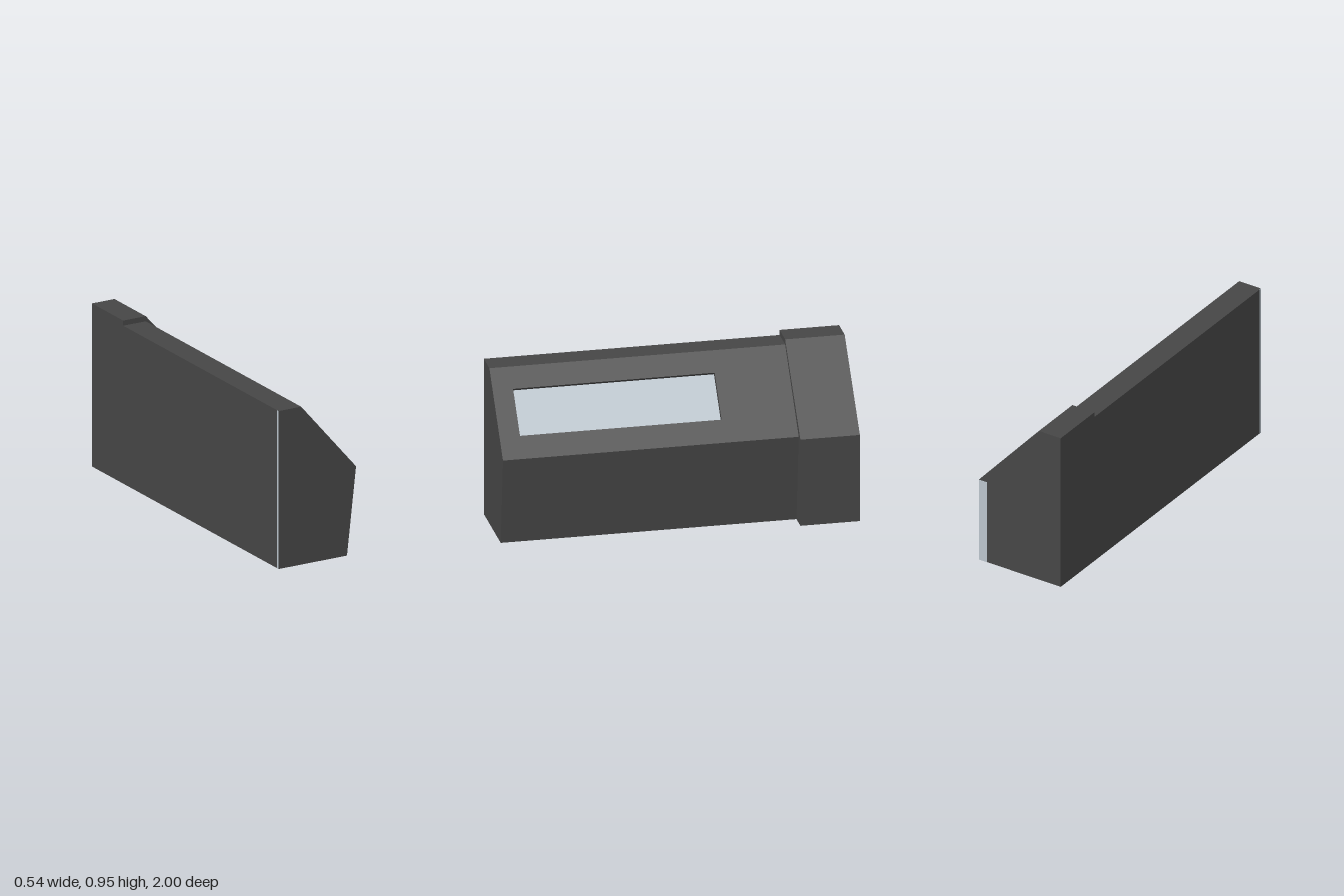
import * as THREE from 'three';

const body = new THREE.MeshStandardMaterial({ name: 'charcoal', color: 0x464646 });
const glass = new THREE.MeshStandardMaterial({ name: 'paleGrey', color: 0xbac4cc });

// Extrude an x/y outline between two z positions
function prism(name, points, z0, z1, material) {
  const shape = new THREE.Shape(points.map(([x, y]) => new THREE.Vector2(x, y)));
  const geometry = new THREE.ExtrudeGeometry(shape, { depth: z1 - z0, bevelEnabled: false });
  geometry.translate(0, 0, z0);
  const mesh = new THREE.Mesh(geometry, material);
  mesh.name = name;
  return mesh;
}

function plate(name, w, h, d, x, y, z) {
  const mesh = new THREE.Mesh(new THREE.BoxGeometry(w, h, d), glass);
  mesh.name = name;
  mesh.position.set(x, y, z);
  return mesh;
}

export function createModel() {
  const model = new THREE.Group();
  model.name = 'slopedCabinet';

  // Main housing outline: leaning wall, sloped face, flat top
  const foot = [[-0.27, 0], [0.168, 0]];
  const slopeLow = [0.226, 0.51];
  const slopeHigh = [-0.126, 0.92];
  const top = [-0.27, 0.92];
  const run = new THREE.Vector2(slopeHigh[0] - slopeLow[0], slopeHigh[1] - slopeLow[1]);
  const normal = new THREE.Vector2(run.y, -run.x).normalize();

  // Point on the slope at fraction t, sunk by a depth
  const onSlope = (t, depth) => [
    slopeLow[0] + run.x * t - normal.x * depth,
    slopeLow[1] + run.y * t - normal.y * depth,
  ];
  const t0 = 0.25, t1 = 0.758, recess = 0.03, paneDepth = 0.025;

  const plain = [...foot, slopeLow, slopeHigh, top];
  const notched = [...foot, slopeLow, onSlope(t0, 0), onSlope(t0, recess),
    onSlope(t1, recess), onSlope(t1, 0), slopeHigh, top];
  const housing = new THREE.Group();
  housing.name = 'housing';
  housing.add(
    prism('housingFront', plain, 0.885, 1, body),
    prism('housingMiddle', notched, -0.25, 0.885, body),
    prism('housingRear', plain, -0.665, -0.25, body),
  );
  model.add(housing);

  // Sunken window pane
  model.add(prism('windowPane', [onSlope(t0, recess), onSlope(t0, paneDepth),
    onSlope(t1, paneDepth), onSlope(t1, recess)].reverse(), -0.25, 0.885, glass));

  // Larger end block
  model.add(prism('endBlock',
    [[-0.27, 0], [0.27, 0], [0.27, 0.51], [-0.126, 0.95], [-0.27, 0.95]], -1, -0.665, body));

  // Pale edge strips on the back and on the flat side wall
  model.add(plate('backStrip', 0.054, 0.51, 0.004, 0.242, 0.255, -0.9995));
  model.add(plate('sideStrip', 0.004, 0.92, 0.016, -0.2695, 0.46, 0.991));

  return model;
}
